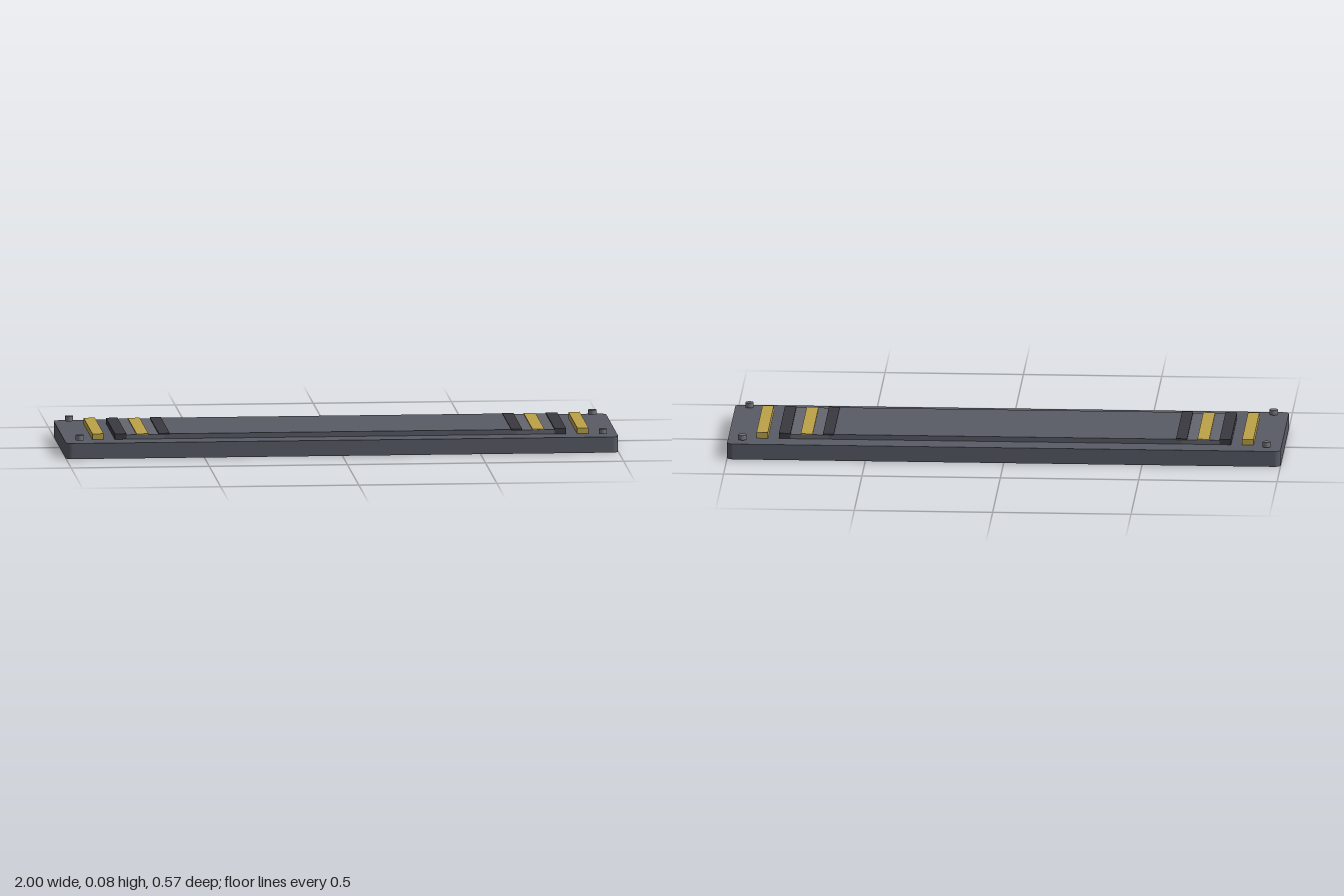
import * as THREE from 'three';

const mat = (name, color) => {
  const m = new THREE.MeshStandardMaterial({ color });
  m.name = name;
  return m;
};

export function createModel() {
  const group = new THREE.Group();
  const slate = mat('slate grey', 0x585b65);
  const light = mat('light grey', 0x64656e);
  const dark = mat('dark grey', 0x393940);
  const gold = mat('gold', 0xbca248);
  const steel = mat('steel grey', 0x73747c);

  const add = (name, geometry, material, x, y, z) => {
    const mesh = new THREE.Mesh(geometry, material);
    mesh.name = name;
    mesh.position.set(x, y, z);
    group.add(mesh);
  };
  // Box given by its x range and y range, running the full panel depth
  const strip = (name, material, x0, x1, y0, y1, depth = 0.392) =>
    add(name, new THREE.BoxGeometry(Math.abs(x1 - x0), y1 - y0, depth), material,
      (x0 + x1) / 2, (y0 + y1) / 2, 0);

  // Base slab with rounded vertical corners
  const w = 1, d = 0.285, r = 0.022, top = 0.057;
  const outline = new THREE.Shape();
  outline.absarc(w - r, d - r, r, 0, Math.PI / 2);
  outline.absarc(-w + r, d - r, r, Math.PI / 2, Math.PI);
  outline.absarc(-w + r, -d + r, r, Math.PI, Math.PI * 1.5);
  outline.absarc(w - r, -d + r, r, Math.PI * 1.5, Math.PI * 2);
  const slab = new THREE.ExtrudeGeometry(outline, { depth: top, bevelEnabled: false, curveSegments: 5 });
  slab.rotateX(-Math.PI / 2);
  add('baseSlab', slab, slate, 0, 0, 0);

  // Raised centre panel
  strip('centrePanel', slate, -0.637, 0.637, top, 0.075);

  // Bands and bolts, mirrored to both ends
  for (const s of [1, -1]) {
    const side = s > 0 ? 'left' : 'right';
    strip(side + 'BandBed', light, s * 0.637, s * 0.79, top, 0.073);
    strip(side + 'InnerDarkBand', dark, s * 0.618, s * 0.658, 0.07, 0.077, 0.393);
    strip(side + 'InnerGoldBand', gold, s * 0.695, s * 0.738, 0.07, 0.076, 0.391);
    strip(side + 'OuterDarkBand', dark, s * 0.775, s * 0.817, top, 0.077, 0.393);
    strip(side + 'OuterGoldBar', gold, s * 0.857, s * 0.898, top, 0.078);
    for (const z of [-0.234, 0.234]) {
      add(side + 'Bolt', new THREE.CylinderGeometry(0.015, 0.015, 0.018, 16), steel, s * 0.947, 0.071, z);
    }
  }
  return group;
}
